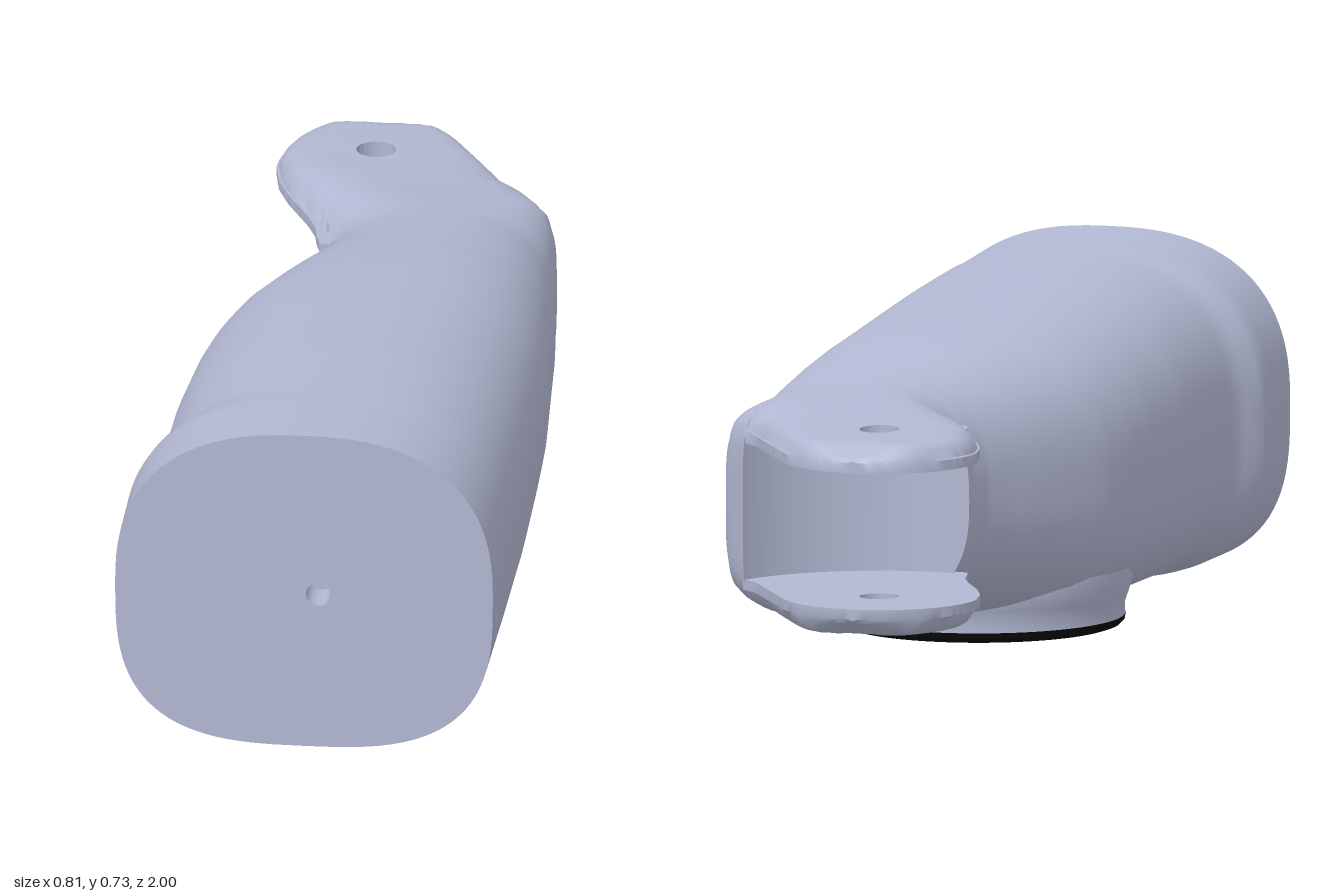
import * as THREE from 'three';
import { toCreasedNormals } from 'three/addons/utils/BufferGeometryUtils.js';

const shell = new THREE.MeshStandardMaterial({ color: 0xb2b8d2, side: THREE.DoubleSide });
shell.name = 'pale blue grey';
const rubber = new THREE.MeshStandardMaterial({ color: 0x080808 });
rubber.name = 'black rubber';

// Linear look-up in [z, value] pairs, z falling
function look(table, z) {
  if (z >= table[0][0]) return table[0][1];
  for (let i = 1; i < table.length; i++) {
    const [z0, v0] = table[i - 1], [z1, v1] = table[i];
    if (z >= z1) return v0 + (v1 - v0) * (z - z0) / (z1 - z0);
  }
  return table[table.length - 1][1];
}

// Plan and side outlines of the arm
const LEFT = [[1, -0.41], [0.8, -0.41], [0.77, -0.385], [0.73, -0.367], [0.6, -0.36], [0.4, -0.356], [0.2, -0.34],
  [0.1, -0.325], [0, -0.3], [-0.1, -0.258], [-0.2, -0.212], [-0.28, -0.172], [-0.34, -0.145], [-0.4, -0.131],
  [-0.48, -0.132], [-0.55, -0.16], [-0.65, -0.211], [-0.72, -0.238], [-0.79, -0.25]];
const RIGHT = [[1, 0.39], [0.8, 0.396], [0.4, 0.405], [0, 0.405], [-0.3, 0.39], [-0.58, 0.365], [-0.66, 0.3],
  [-0.68, 0.268], [-0.76, 0.222], [-0.9, 0.139]];
const TOP = [[1, 0.733], [0.5, 0.704], [0.2, 0.68], [0, 0.662], [-0.15, 0.643], [-0.3, 0.617], [-0.45, 0.594],
  [-0.6, 0.574], [-0.75, 0.559], [-0.95, 0.549], [-1, 0.515]];
const BOTTOM = [[1, 0.011], [0.4, 0.022], [0.2, 0.032], [0, 0.046], [-0.15, 0.068], [-0.3, 0.092], [-0.45, 0.113],
  [-0.6, 0.127], [-0.75, 0.134], [-0.95, 0.14], [-1, 0.175]];
const PIN = { x: -0.04, z: -0.8, r: 0.042 };

const tip = (z) => Math.sqrt(Math.max(0, 0.0441 - (z + 0.79) ** 2));
const leftEdge = (z) => (z < -0.79 ? -0.04 - tip(z) : look(LEFT, z));
const rightEdge = (z) => (z < -0.9 ? -0.04 + tip(z) : look(RIGHT, z));
// Curved end wall of the fork slot
const wall = (x) => PIN.z + Math.sqrt(Math.max(0, 0.1369 - (x - PIN.x) ** 2));

// Rounded-square section at z: centre, half sizes and roundness
function section(z) {
  const l = leftEdge(z), r = rightEdge(z), t = look(TOP, z), b = look(BOTTOM, z);
  const square = 5.5 * THREE.MathUtils.smoothstep(-z, 0.4, 0.85);
  return {
    x: (l + r) / 2, w: Math.max((r - l) / 2, 1e-4), y: (t + b) / 2, h: (t - b) / 2,
    nTop: 2.5 + square,
    nBottom: 3 - 0.6 * THREE.MathUtils.smoothstep(-z, -0.2, 0.4) + square
  };
}

function sectionPoint(z, angle) {
  const s = section(z), c = Math.cos(angle), k = Math.sin(angle);
  const e = 2 / (k >= 0 ? s.nTop : s.nBottom);
  return [s.x + s.w * Math.sign(c) * Math.abs(c) ** e, s.y + s.h * Math.sign(k) * Math.abs(k) ** e, z];
}

function indexed(positions, index) {
  const g = new THREE.BufferGeometry();
  g.setAttribute('position', new THREE.Float32BufferAttribute(positions, 3));
  g.setIndex(index);
  g.computeVertexNormals();
  return g;
}

// Skin over closed loops; optionally the last loop joins the first
function skin(loops, flip, joined) {
  const n = loops[0].length, index = [];
  for (let j = 0; j < loops.length - (joined ? 0 : 1); j++) {
    const j2 = (j + 1) % loops.length;
    for (let i = 0; i < n; i++) {
      const i2 = (i + 1) % n;
      const a = j * n + i, b = j * n + i2, c = j2 * n + i, d = j2 * n + i2;
      if (flip) index.push(a, c, b, b, c, d);
      else index.push(a, b, c, b, d, c);
    }
  }
  return indexed(loops.flat(2), index);
}

// Fork plate: loops spreading from the pin hole to the edge, and back along the flat inner face
function forkPlate(upper) {
  const count = 120, radii = [];
  for (let i = 0; i < count; i++) {
    const a = (i / count) * Math.PI * 2;
    let lo = PIN.r, hi = 0.7;
    for (let k = 0; k < 30; k++) {
      const r = (lo + hi) / 2, x = PIN.x + r * Math.cos(a), z = PIN.z + r * Math.sin(a);
      const inside = z > -1 && x > leftEdge(z) && x < rightEdge(z) && z < wall(x) + 0.02;
      if (inside) lo = r; else hi = r;
    }
    radii.push(lo);
  }
  const loop = (t, outer) => radii.map((edge, i) => {
    const a = (i / count) * Math.PI * 2, r = PIN.r + (edge - PIN.r) * t;
    const x = PIN.x + r * Math.cos(a), z = PIN.z + r * Math.sin(a);
    if (!outer) return [x, upper ? 0.49 : 0.2, z];
    const s = section(z), n = upper ? s.nTop : s.nBottom;
    const u = Math.min(1, Math.abs((x - s.x) / s.w));
    const rise = s.h * (1 - u ** n) ** (1 / n);
    return [x, upper ? Math.max(0.512, s.y + rise) : Math.min(0.178, s.y - rise), z];
  });
  const steps = [0, 0.2, 0.4, 0.6, 0.72, 0.8, 0.87, 0.93, 0.97, 1];
  const loops = [...steps.map((t) => loop(t, true)), loop(1, false), loop(0, false)];
  return toCreasedNormals(skin(loops, !upper, true), 0.6);
}

export function createModel() {
  const group = new THREE.Group();
  const add = (name, geometry, material) => {
    const mesh = new THREE.Mesh(geometry, material);
    mesh.name = name;
    group.add(mesh);
    return mesh;
  };

  // Arm body, its last loop lying on the curved slot wall
  const M = 96, straight = 44, last = 16, loops = [];
  const angles = Array.from({ length: M }, (_, i) => (i / M) * Math.PI * 2);
  const ends = angles.map((a) => {
    let z = -0.5;
    for (let k = 0; k < 40; k++) z = (2 * z + wall(sectionPoint(z, a)[0])) / 3;
    return z;
  });
  for (let j = 0; j <= straight; j++) {
    loops.push(angles.map((a) => sectionPoint(1 - 1.3 * j / straight, a)));
  }
  for (let j = 1; j <= last; j++) {
    loops.push(angles.map((a, i) => sectionPoint(-0.3 + (ends[i] + 0.3) * j / last, a)));
  }
  add('armBody', skin(loops, true, false), shell);

  // Slot wall, in upright strips
  const index = [];
  for (let i = 0; i < M / 2; i++) {
    const a = i, b = i + 1, c = (M - i) % M, d = M - i - 1;
    index.push(a, c, b, b, c, d);
  }
  add('slotWall', indexed(loops[loops.length - 1].flat(), index), shell);

  // Front face with a small blind hole
  const face = new THREE.Shape(loops[0].map(([x, y]) => new THREE.Vector2(x, y)));
  face.holes.push(new THREE.Path().absarc(0.02, 0.365, 0.026, 0, Math.PI * 2, true));
  add('frontFace', new THREE.ShapeGeometry(face, 24), shell).position.z = 1;
  const bore = add('frontHole', new THREE.CylinderGeometry(0.026, 0.026, 0.08, 32, 1, true), shell);
  bore.rotation.x = Math.PI / 2;
  bore.position.set(0.02, 0.365, 0.96);
  add('frontHoleFloor', new THREE.CircleGeometry(0.026, 32), shell).position.set(0.02, 0.365, 0.92);

  // Fork
  add('upperForkPlate', forkPlate(true), shell);
  add('lowerForkPlate', forkPlate(false), shell);

  // Round foot: flared collar and rubber pad
  const lathe = (points) => new THREE.LatheGeometry(points.map(([x, y]) => new THREE.Vector2(x, y)), 72);
  const collar = lathe([[0.3, 0.02], [0.309, 0.022], [0.309, 0.05], [0.316, 0.07], [0.325, 0.1], [0.325, 0.13]]);
  add('footCollar', toCreasedNormals(collar, 0.6), shell).position.set(0.035, 0, 0.19);
  const pad = lathe([[0, 0], [0.288, 0], [0.3, 0.004], [0.308, 0.012], [0.31, 0.023], [0, 0.023]]);
  add('footPad', toCreasedNormals(pad, 0.6), rubber).position.set(0.035, 0, 0.19);

  return group;
}
